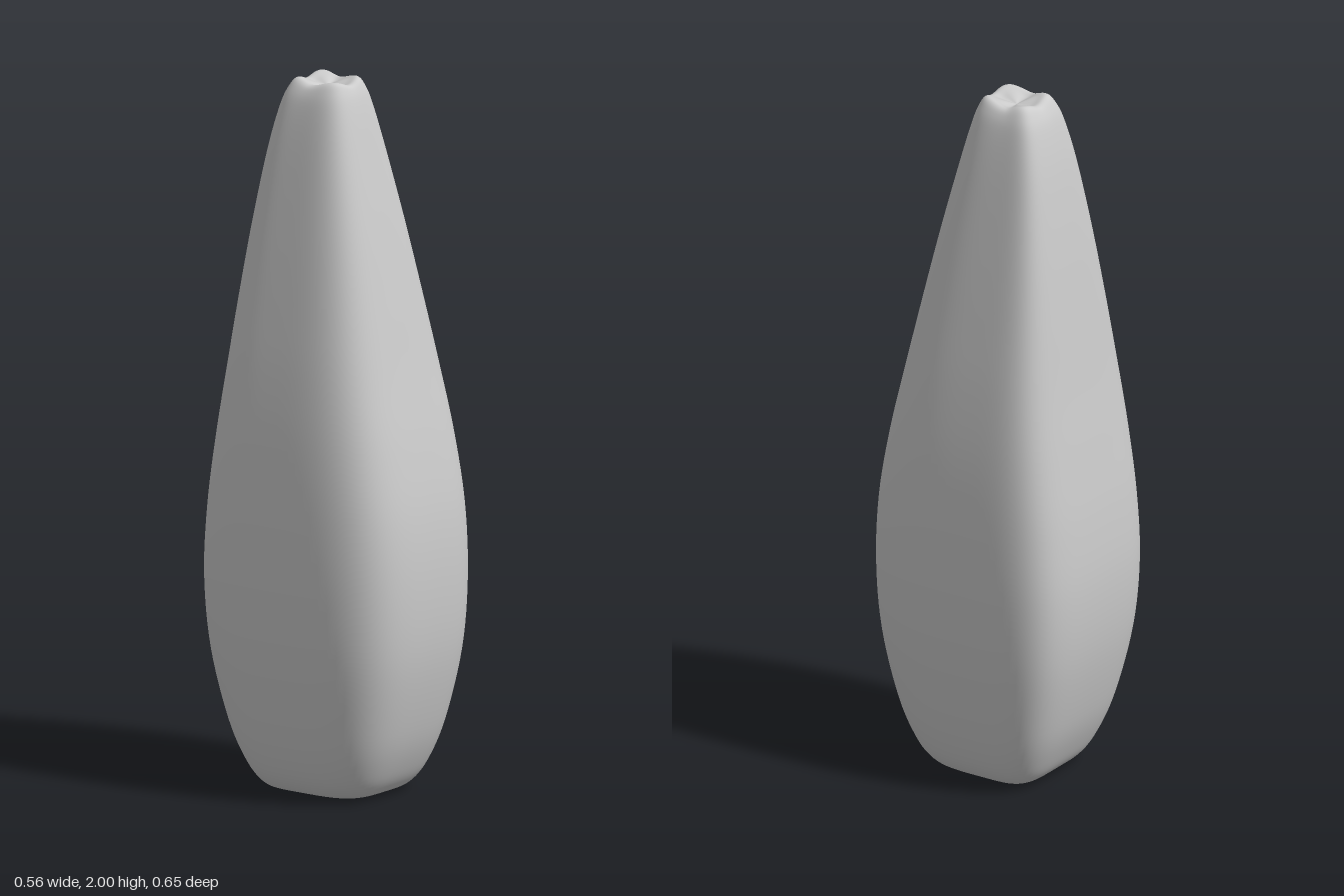
import * as THREE from 'three';

// Cross-sections from bottom to top: [y, half width, front z, back z, corner lift]
const ROWS = [
  [0, 0, 0, 0, 0],
  [0, 0.07, 0.07, 0.07, 0],
  [0.003, 0.125, 0.13, 0.13, 0],
  [0.02, 0.165, 0.175, 0.175, 0],
  [0.08, 0.202, 0.218, 0.215, 0],
  [0.2, 0.236, 0.265, 0.262, 0],
  [0.4, 0.268, 0.309, 0.307, 0],
  [0.6, 0.28, 0.323, 0.323, 0],
  [0.8, 0.277, 0.314, 0.313, 0],
  [1.0, 0.263, 0.281, 0.289, 0],
  [1.2, 0.238, 0.237, 0.262, 0],
  [1.4, 0.205, 0.194, 0.238, 0],
  [1.6, 0.169, 0.15, 0.212, 0],
  [1.8, 0.13, 0.102, 0.18, 0],
  [1.92, 0.102, 0.071, 0.152, 0.002],
  [1.97, 0.083, 0.053, 0.131, 0.006],
  [1.987, 0.064, 0.036, 0.111, 0.013],
  [1.981, 0.04, 0.006, 0.082, 0.01],
  [1.975, 0, -0.04, 0.04, 0],
];
const SIDES = 96, STEPS = 108;

function createBody() {
  const curve = (f) => new THREE.CatmullRomCurve3(
    ROWS.map((r) => new THREE.Vector3(...f(r))), false, 'catmullrom', 0.5);
  const outline = curve((r) => [r[1], r[2], r[3]]);
  const height = curve((r) => [r[0], r[4], 0]);
  const pos = [], index = [];

  for (let j = 0; j <= STEPS; j++) {
    const { x: hx, y: front, z: back } = outline.getPoint(j / STEPS);
    const { x: y, y: lift } = height.getPoint(j / STEPS);
    // widest line sits slightly behind the middle, so the front is rounder
    const cz = (front - back) / 2 - 0.07 * (front + back);
    for (let i = 0; i < SIDES; i++) {
      const a = (i / SIDES) * Math.PI * 2, c = Math.cos(a), s = Math.sin(a);
      const n = s > 0 ? 3.7 : 4.5;
      const r = Math.pow(Math.abs(c) ** n + Math.abs(s) ** n, -1 / n);
      const depth = s > 0 ? front - cz : cz + back;
      pos.push(hx * r * c, Math.max(0, y + lift * Math.sin(2 * a) ** 2), cz + depth * r * s);
      if (j < STEPS) {
        const p = j * SIDES + i, q = j * SIDES + (i + 1) % SIDES;
        index.push(p, p + SIDES, q, q, p + SIDES, q + SIDES);
      }
    }
  }
  const geo = new THREE.BufferGeometry();
  geo.setAttribute('position', new THREE.Float32BufferAttribute(pos, 3));
  geo.setIndex(index);
  geo.computeVertexNormals();
  return geo;
}

export function createModel() {
  const group = new THREE.Group();
  // Tapered, rounded-square body with a shallow dimple on top
  const body = new THREE.Mesh(createBody(), new THREE.MeshStandardMaterial({ color: 0xcccccc }));
  body.name = 'body';
  group.add(body);
  return group;
}
